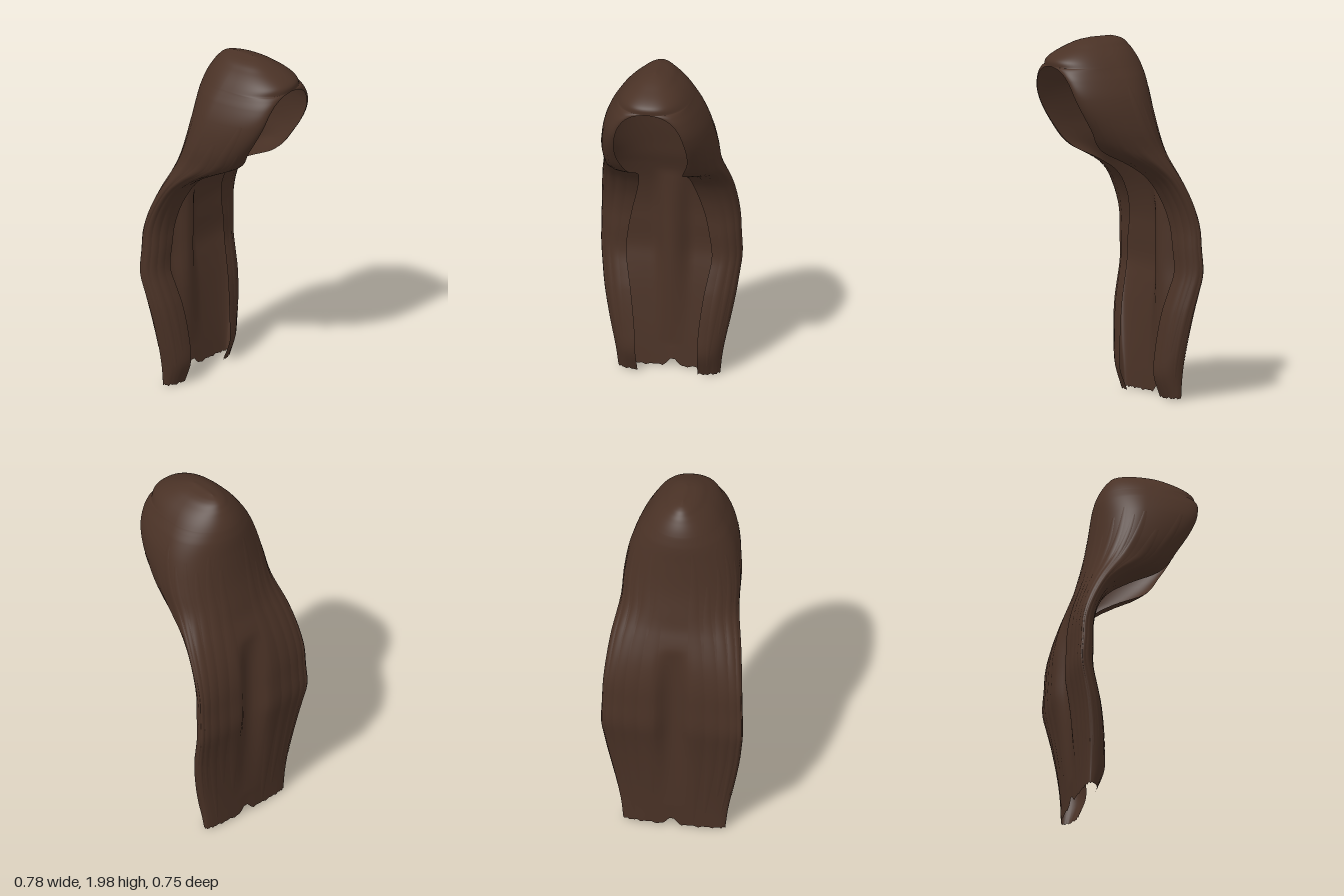
import * as THREE from 'three';
import { mergeVertices } from 'three/addons/utils/BufferGeometryUtils.js';

// Horizontal sections: height, back z, front edge z, z of widest point, half width, half opening
const SECTIONS = [
  [0.00, -0.303, -0.220, -0.275, 0.28, 0.165],
  [0.15, -0.31, -0.175, -0.27, 0.295, 0.17],
  [0.28, -0.32, -0.18, -0.27, 0.32, 0.175],
  [0.50, -0.341, -0.21, -0.30, 0.36, 0.20],
  [0.60, -0.355, -0.236, -0.325, 0.373, 0.218],
  [0.71, -0.372, -0.264, -0.35, 0.385, 0.235],
  [0.85, -0.368, -0.262, -0.34, 0.382, 0.222],
  [0.97, -0.362, -0.258, -0.33, 0.378, 0.20],
  [1.11, -0.337, -0.22, -0.28, 0.367, 0.165],
  [1.24, -0.295, -0.13, -0.21, 0.35, 0.14],
  [1.31, -0.27, -0.02, -0.16, 0.335, 0.14],
  [1.39, -0.25, 0.14, -0.10, 0.32, 0.15],
  [1.52, -0.22, 0.24, -0.03, 0.316, 0.195],
  [1.69, -0.195, 0.335, 0.03, 0.287, 0.187],
  [1.79, -0.182, 0.362, 0.05, 0.245, 0.145],
  [1.83, -0.172, 0.37, 0.06, 0.221, 0.10],
  [1.85, -0.166, 0.374, 0.066, 0.208, 0.05],
  [1.858, -0.163, 0.376, 0.068, 0.203, 0],
  [1.89, -0.148, 0.372, 0.075, 0.18, 0],
  [1.92, -0.13, 0.335, 0.08, 0.153, 0],
  [1.95, -0.108, 0.275, 0.08, 0.117, 0],
  [1.985, -0.065, 0.185, 0.07, 0.06, 0],
  [2.00, -0.01, 0.12, 0.055, 0, 0],
];
const heights = SECTIONS.map((s) => s[0]);
const profile = new THREE.CubicInterpolant(heights, SECTIONS.flatMap((s) => s.slice(1)), 5);
const { smoothstep, lerp, clamp } = THREE.MathUtils;

let seed = 7;
const random = () => (seed = (seed * 16807) % 2147483647) / 2147483647;

// Slightly ragged hem, with a deeper notch in the middle
function hem(u) {
  const jag = 0.026 + 0.003 * Math.sin(u * 47) + 0.003 * Math.sin(u * 91 + 1);
  return jag + 0.045 * Math.max(0, 1 - Math.abs(u - 0.01) / 0.05);
}

// u runs from the right front edge (-1) round the back (0) to the left front edge (1)
function hairPoint(u, y) {
  const [zb, zf, zw, w, xe] = profile.evaluate(y);
  const a = Math.abs(u), split = 0.6;
  let x, z;
  if (a <= split) {
    // back: flat and square below, round at the head
    const t = (a / split) * Math.PI / 2;
    const round = smoothstep(y, 0.9, 1.45);
    x = w * Math.pow(Math.sin(t), lerp(0.85, 1, round));
    z = zw + (zb - zw) * Math.pow(Math.max(0, Math.cos(t)), lerp(0.65, 1, round));
    // shallow valley down the middle of the back
    z += Math.max(0, -0.31 - zb) * (1 - smoothstep(x, 0.01, 0.11));
  } else {
    // front: fuller above the brow, where the two sides meet
    const t = ((a - split) / (1 - split)) * Math.PI / 2;
    const edge = Math.max(0, xe);
    const full = 1 - smoothstep(edge, 0, 0.16);
    x = edge + Math.max(0, w - edge) * Math.pow(Math.max(0, Math.cos(t)), lerp(1, 0.85, full));
    z = zw + (zf - zw) * Math.pow(Math.sin(t), lerp(1, 0.75, full));
  }
  return new THREE.Vector3(Math.sign(u) * x, y + hem(u) * Math.max(0, 1 - y / 0.16), z);
}

// Skin a grid of points; point(i, j) has j rising upwards
function skin(columns, rows, point) {
  const positions = [], index = [];
  for (let j = 0; j <= rows; j++) {
    for (let i = 0; i <= columns; i++) positions.push(...point(i, j).toArray());
  }
  for (let j = 0; j < rows; j++) {
    for (let i = 0; i < columns; i++) {
      const a = j * (columns + 1) + i, b = a + 1, c = a + columns + 1, d = c + 1;
      index.push(a, c, b, b, c, d);
    }
  }
  const geometry = new THREE.BufferGeometry();
  geometry.setAttribute('position', new THREE.Float32BufferAttribute(positions, 3));
  geometry.setIndex(index);
  const welded = mergeVertices(geometry, 1e-5);
  welded.computeVertexNormals();
  return welded;
}

// Thin tapering lock lying just outside the main sheet
function lockGeometry(centre, halfWidth, bottom, top) {
  const columns = 6, rows = 36;
  return skin(columns, rows, (i, j) => {
    const v = j / rows, s = (i / columns) * 2 - 1;
    const taper = Math.pow(Math.sin(Math.PI * lerp(0.02, 0.98, v)), 0.5);
    const u = clamp(centre + s * halfWidth * taper, -0.99, 0.99);
    const y = lerp(bottom, top, v);
    const p = hairPoint(u, y);
    const along = hairPoint(u + 0.005, y).sub(hairPoint(u - 0.005, y));
    const outward = new THREE.Vector3(along.z, 0, -along.x).normalize();
    return p.addScaledVector(outward, 0.001 + 0.003 * taper * (1 - s * s));
  });
}

export function createModel() {
  const model = new THREE.Group();
  model.name = 'longHair';
  const brown = new THREE.MeshStandardMaterial({ color: 0x4a3226, side: THREE.DoubleSide });
  brown.name = 'dark brown';

  // Main sheet: cap round the head flowing into the long back
  const levels = [];
  for (let k = 0; k < heights.length - 1; k++) {
    for (let s = 0; s < 5; s++) levels.push(lerp(heights[k], heights[k + 1], s / 5));
  }
  levels.push(2);
  const columns = 96;
  const sheet = new THREE.Mesh(
    skin(columns, levels.length - 1, (i, j) => hairPoint((i / columns) * 2 - 1, levels[j])), brown);
  sheet.name = 'hairSheet';
  model.add(sheet);

  // Overlapping locks, on both sides
  const locks = new THREE.Group();
  locks.name = 'locks';
  for (const side of [-1, 1]) {
    for (let k = 0; k < 9; k++) {
      const centre = 0.12 + k * 0.095;
      const bottom = 0.03 + 0.3 * random();
      const top = 1.5 + 0.28 * random();
      const lock = new THREE.Mesh(lockGeometry(side * centre, 0.045, bottom, top), brown);
      lock.name = side > 0 ? 'leftLock' : 'rightLock';
      locks.add(lock);
    }
  }
  model.add(locks);
  return model;
}
